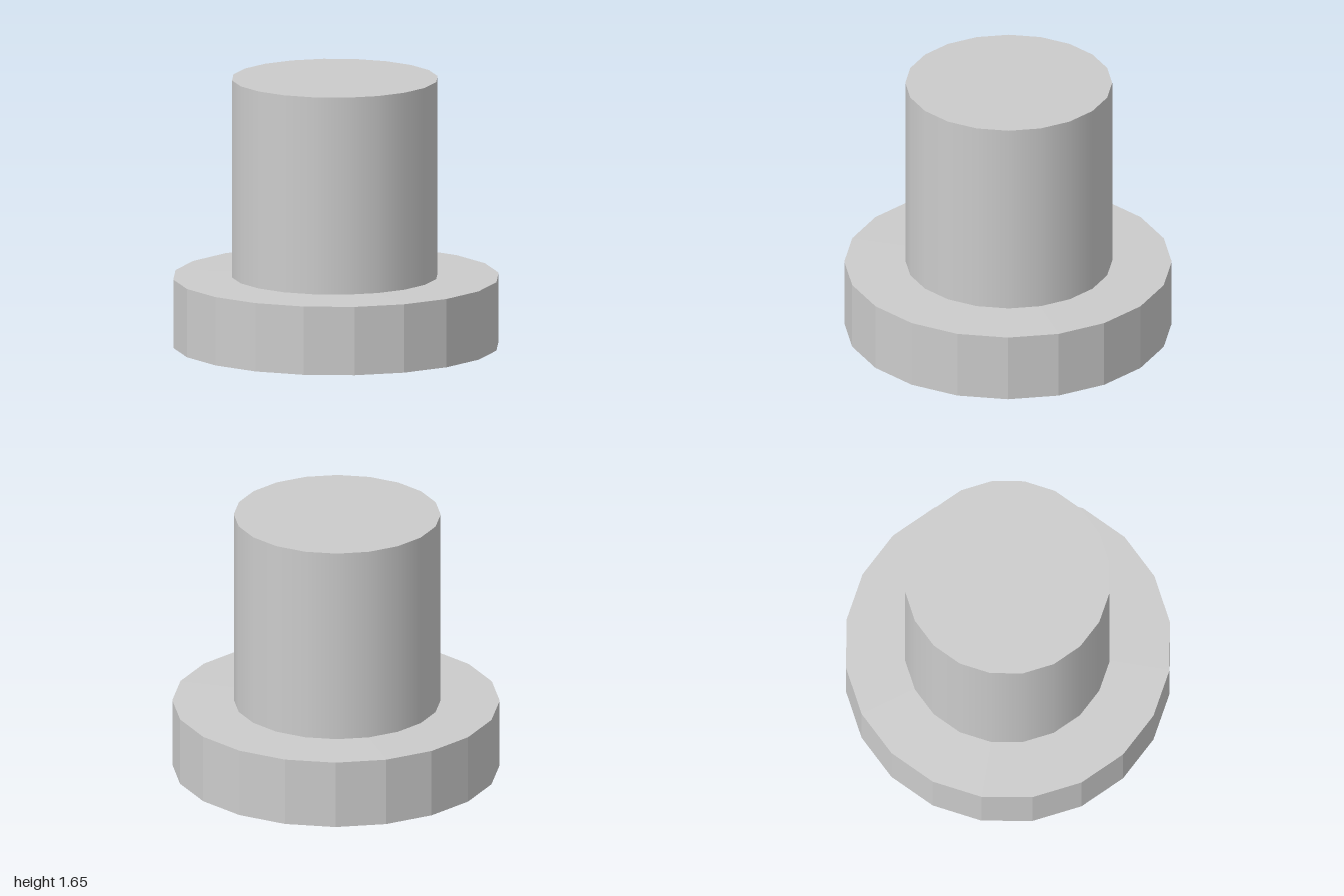
import * as THREE from 'three';

const SIDES = 20;

export function createModel() {
  const group = new THREE.Group();
  const faceted = new THREE.MeshStandardMaterial({ color: 0xcccccc, flatShading: true });
  const smooth = new THREE.MeshStandardMaterial({ color: 0xcccccc });

  const addCylinder = (name, rTop, rBottom, y0, y1, x, material, open = false) => {
    const geometry = new THREE.CylinderGeometry(rTop, rBottom, y1 - y0, SIDES, 1, open);
    const mesh = new THREE.Mesh(geometry, material);
    mesh.name = name;
    mesh.position.set(x, (y0 + y1) / 2, 0);
    group.add(mesh);
  };

  // Wide faceted flange
  addCylinder('flange', 1, 1, 0, 0.425, 0, faceted);
  // Barely raised upper face of the flange
  addCylinder('flangeTop', 0.62, 1, 0.425, 0.43, 0, faceted, true);
  // Smooth shaft, set very slightly off centre
  addCylinder('shaft', 0.632, 0.632, 0.42, 1.655, -0.008, smooth);

  return group;
}
